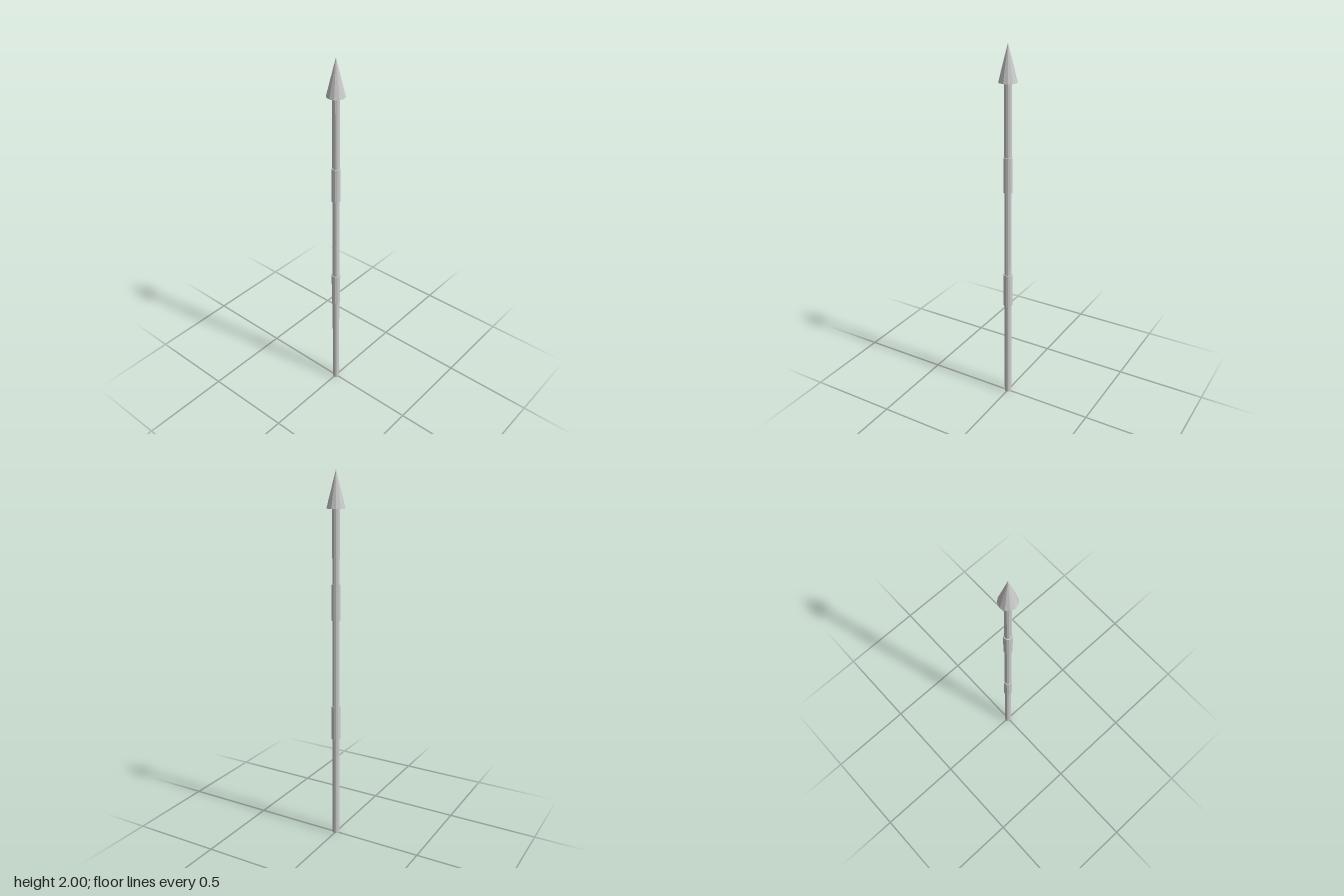
import * as THREE from 'three';

const SIDES = 12;

export function createModel() {
  const group = new THREE.Group();
  const material = new THREE.MeshStandardMaterial({ color: 0xcccccc, flatShading: true });

  // Upright faceted round part, placed by the height of its base
  function addPart(name, topRadius, bottomRadius, height, baseY) {
    const geometry = new THREE.CylinderGeometry(topRadius, bottomRadius, height, SIDES);
    const mesh = new THREE.Mesh(geometry, material);
    mesh.name = name;
    mesh.position.y = baseY + height / 2;
    group.add(mesh);
  }

  // Long pole
  addPart('shaft', 0.019, 0.019, 1.81, 0);

  // Two sleeves around the pole
  addPart('lowerGrip', 0.0238, 0.0238, 0.19, 0.572);
  addPart('upperGrip', 0.0238, 0.0238, 0.19, 1.238);

  // Pointed head
  addPart('tip', 0, 0.0476, 0.19, 1.81);

  return group;
}
